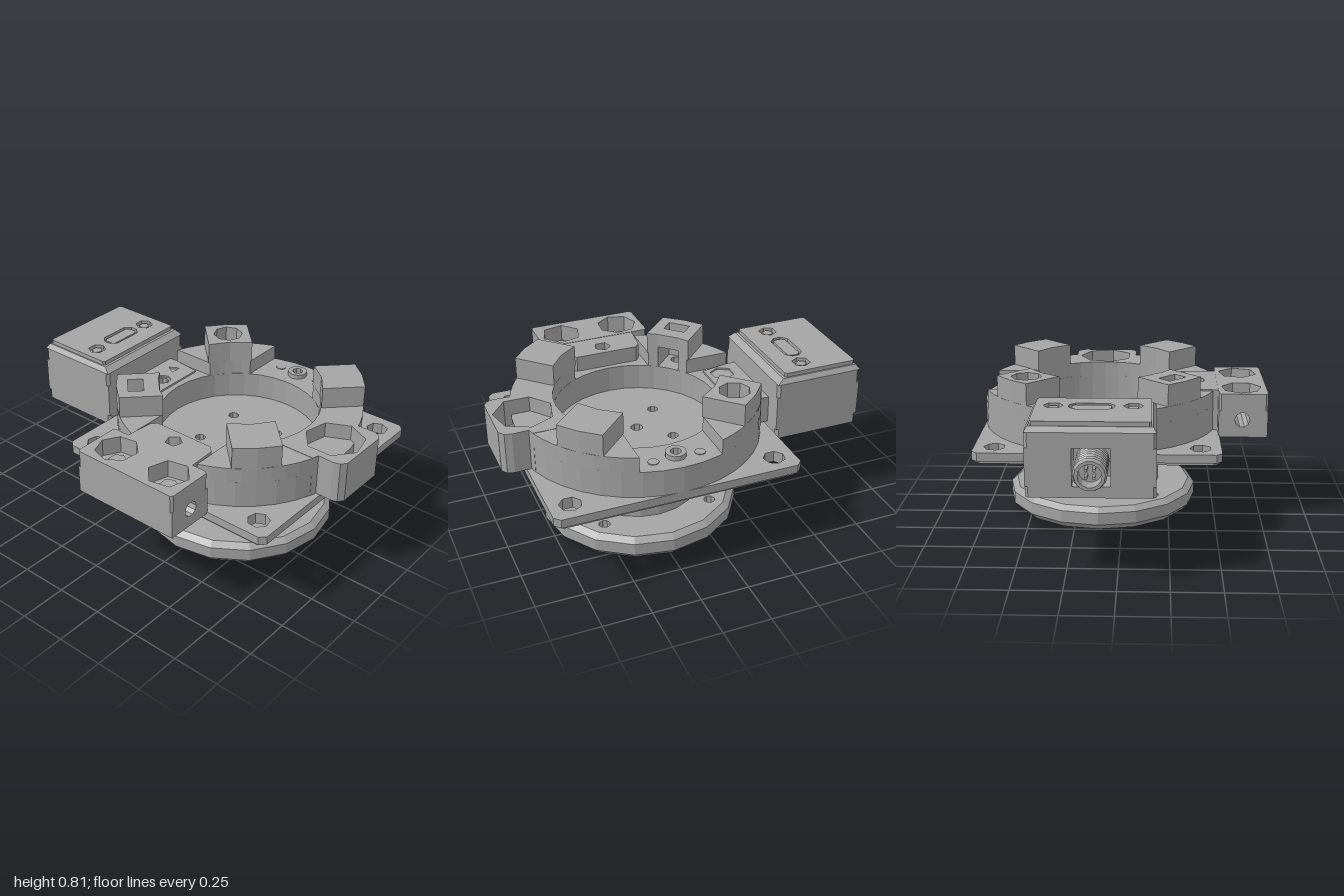
import * as THREE from 'three';

const grey = new THREE.MeshStandardMaterial({ color: 0xa4a4a4 });
grey.name = 'machined grey';

const V = (x, y) => new THREE.Vector2(x, y);

// Regular polygon of points, used for outlines and holes
function ring(cx, cz, r, n = 8, turn = 0) {
  return Array.from({ length: n }, (_, i) => {
    const a = turn + (i / n) * Math.PI * 2;
    return V(cx + r * Math.cos(a), cz + r * Math.sin(a));
  });
}

// Rectangle with cut corners
function rect(x0, x1, z0, z1, c = 0.02) {
  return [V(x0 + c, z0), V(x1 - c, z0), V(x1, z0 + c), V(x1, z1 - c),
    V(x1 - c, z1), V(x0 + c, z1), V(x0, z1 - c), V(x0, z0 + c)];
}

function arc(r, a0, a1, n = 8) {
  return Array.from({ length: n + 1 }, (_, i) => {
    const a = THREE.MathUtils.degToRad(a0 + ((a1 - a0) * i) / n);
    return V(r * Math.cos(a), r * Math.sin(a));
  });
}

// Upright slab from y0 to y1 with an x/z outline and holes
function slab(parent, name, outline, y0, y1, holes = []) {
  const s = new THREE.Shape(outline);
  s.holes = holes.map((h) => new THREE.Path(h));
  const g = new THREE.ExtrudeGeometry(s, { depth: y1 - y0, bevelEnabled: false });
  g.rotateX(Math.PI / 2).translate(0, y1, 0);
  return add(parent, name, g);
}

function add(parent, name, g) {
  const m = new THREE.Mesh(g, grey);
  m.name = name;
  parent.add(m);
  return m;
}

// Faceted turned part
function turned(parent, name, pts, n) {
  const g = new THREE.LatheGeometry(pts.map((p) => V(...p)), n, Math.PI / 2).toNonIndexed();
  g.computeVertexNormals();
  return add(parent, name, g);
}

const R = 0.64, r = 0.425;
const diag = (rad, k) => [rad * Math.cos(Math.PI / 4 + k * Math.PI / 2), rad * Math.sin(Math.PI / 4 + k * Math.PI / 2)];

function buildHub(hub) {
  const five = [ring(0, 0, 0.032), ...[0, 1, 2, 3].map((k) => ring(...diag(0.205, k), 0.028))];
  const through = [ring(0.53, 0, 0.028), ring(0, -0.53, 0.03),
    ring(...diag(0.537, 2), 0.032), ring(...diag(0.54, 3), 0.042, 5)];

  // Bottom flange with bolt holes and chamfered rim
  const bolts = [0, 1, 2, 3].map((k) => ring(...diag(0.41, k), 0.03));
  slab(hub, 'flangeLower', ring(0, 0, 0.485, 16), 0, 0.06, [ring(0, 0, 0.32, 16), ...bolts]);
  slab(hub, 'flangeUpper', ring(0, 0, 0.485, 16), 0.06, 0.125, [ring(0, 0, 0.26, 16), ...bolts]);
  turned(hub, 'flangeRim', [[0.485, 0], [0.518, 0.035], [0.518, 0.1], [0.485, 0.125]], 16);

  // Neck, hollow from below
  slab(hub, 'neckTube', ring(0, 0, 0.316, 20), 0.125, 0.2, [ring(0, 0, 0.26, 16)]);
  slab(hub, 'neckCore', ring(0, 0, 0.316, 20), 0.2, 0.395, five);
  slab(hub, 'neckTop', ring(0, 0, 0.305, 20), 0.395, 0.415, five);

  // Square mounting plate
  const corners = [0, 1, 2, 3].map((k) => ring(...diag(0.75, k), 0.056, 7));
  const blind = [25, 65, 115, 155, 205, 245, 295, 335].map((d) => {
    const a = THREE.MathUtils.degToRad(d);
    return ring(0.52 * Math.cos(a), 0.52 * Math.sin(a), 0.025, 6);
  });
  slab(hub, 'plateBottom', rect(-0.625, 0.625, -0.625, 0.625, 0.03), 0.41, 0.425, [...five, ...through, ...corners, ...blind]);
  slab(hub, 'plate', rect(-0.638, 0.638, -0.638, 0.638, 0.03), 0.425, 0.47, [...five, ...through, ...corners, ...blind]);

  // Lower ring wall
  slab(hub, 'ringBase', ring(0, 0, R, 40), 0.47, 0.61, [ring(0, 0, r, 32), ...through]);

  // Raised quarter walls and diagonal towers
  for (let k = 0; k < 4; k++) {
    const open = k === 2;
    const inner = open
      ? [...arc(r, 60.4, 53, 2), ...arc(0.58, 51, 39, 1), ...arc(r, 37, 29.6, 2)]
      : arc(r, 60.4, 29.6, 5);
    const socket = k === 3 ? [ring(0.375, 0.375, 0.08, 8)] : [];
    const wall = slab(hub, 'quarterWall', [...arc(R, 19.2, 70.8), ...inner], 0.61, 0.69, socket);
    wall.rotation.y = (-k * Math.PI) / 2;

    const mid = open ? [V(0.42, 0.06), V(0.58, 0.06), V(0.58, -0.06), V(0.42, -0.06)] : [V(r, 0)];
    const outline = [V(0.408, -0.12), V(0.629, -0.12), V(R, 0), V(0.629, 0.12), V(0.408, 0.12), ...mid];
    const tower = slab(hub, 'tower', outline, 0.69, 0.805, k === 3 ? [ring(0.53, 0, 0.08, 8)] : []);
    tower.rotation.y = -Math.PI / 4 - (k * Math.PI) / 2;
    if (open) {
      const beam = slab(hub, 'towerBeam', rect(0.42, 0.5, -0.06, 0.06, 0), 0.73, 0.805);
      beam.rotation.y = tower.rotation.y;
    }
  }

  // Front boss with faceted socket
  const boss = [...arc(r, 119.6, 60.4, 6), ...arc(R, 70.8, 74, 1),
    V(0.18, 0.7), V(0.17, 0.735), V(0.14, 0.757), V(-0.14, 0.757), V(-0.17, 0.735), V(-0.18, 0.7),
    ...arc(R, 106, 109.2, 1)];
  slab(hub, 'bossFloor', boss, 0.472, 0.55);
  slab(hub, 'boss', boss, 0.55, 0.692, [ring(0, 0.592, 0.152, 7)]);

  // Side pad collar and pin heads
  slab(hub, 'padCollar', ring(0.53, 0, 0.052, 12), 0.6, 0.635, [ring(0.53, 0, 0.028)]);
  for (const z of [-0.12, 0.12]) slab(hub, 'padPin', ring(0.545, z, 0.028, 10), 0.6, 0.614);
}

function buildClampBlock(block) {
  // Lower body with a cross bore running front to back
  const s = new THREE.Shape([V(-0.77, 0.46), V(-0.51, 0.46), V(-0.51, 0.605), V(-0.77, 0.605)]);
  s.holes = [new THREE.Path(ring(-0.635, 0.555, 0.04, 10))];
  const g = new THREE.ExtrudeGeometry(s, { depth: 0.6, bevelEnabled: false });
  add(block, 'clampBody', g.translate(0, 0, -0.06));
  // Top with two faceted sockets
  const sockets = [0.075, 0.405].map((z, i) => ring(-0.635, z, 0.108, 7 - i, 0.3));
  slab(block, 'clampTop', rect(-0.77, -0.51, -0.06, 0.54, 0.012), 0.605, 0.697, sockets);
  for (const z of [0.075, 0.405]) slab(block, 'clampScrew', ring(-0.635, z, 0.045, 6), 0.6, 0.635);
  // Tongue reaching into the ring
  const tongue = [V(-0.51, 0.03), V(-0.36, 0.045), V(-0.33, 0.07), V(-0.33, 0.41), V(-0.36, 0.44), V(-0.51, 0.445)];
  slab(block, 'clampTongue', tongue, 0.472, 0.695, [ring(-0.405, 0.24, 0.045, 5)]);
}

function buildSensor(sensor) {
  const x0 = -0.182, x1 = 0.428, z0 = -0.89, z1 = -0.415;
  const full = rect(x0, x1, z0, z1, 0.015);
  const pocket = [V(x0, z0), V(0.03, z0), V(0.03, -0.74), V(0.21, -0.74), V(0.21, z0), V(x1, z0), V(x1, z1), V(x0, z1)];
  slab(sensor, 'sensorBottom', full, 0.42, 0.475);
  slab(sensor, 'sensorMiddle', pocket, 0.475, 0.66);
  slab(sensor, 'sensorUpper', full, 0.66, 0.735);

  // Sloped shoulders below the cover
  const g = new THREE.BoxGeometry(x1 - x0, 0.02, z1 - z0);
  const p = g.attributes.position;
  const cx = (x0 + x1) / 2, cz = (z0 + z1) / 2;
  for (let i = 0; i < p.count; i++) {
    const top = p.getY(i) > 0;
    const x = p.getX(i) + cx, z = p.getZ(i) + cz;
    p.setXYZ(i, top ? x - Math.sign(x - cx) * 0.018 : x, top ? 0.76 : 0.735,
      top ? z + (z > cz ? -0.035 : 0.018) : z);
  }
  const flat = g.toNonIndexed();
  flat.computeVertexNormals();
  add(sensor, 'sensorShoulder', flat);

  // Cover with screw recesses and slot
  const recesses = [-0.07, 0.315].map((x) => ring(x, -0.6, 0.048, 6));
  slab(sensor, 'sensorCover', rect(x0 + 0.025, x1 - 0.025, z0 + 0.022, z1 - 0.05, 0.01), 0.759, 0.782,
    [...recesses, rect(0.02, 0.24, -0.66, -0.56, 0.03)]);
  slab(sensor, 'slotInsert', rect(0.035, 0.225, -0.645, -0.575, 0.015), 0.758, 0.778);
  for (const x of [-0.07, 0.315]) slab(sensor, 'coverScrew', ring(x, -0.6, 0.028, 6), 0.758, 0.774);

  // Tongue joining the ring
  const tongue = [V(-0.09, -0.43), V(0.33, -0.43), V(0.33, -0.37), V(0.31, -0.215), V(-0.06, -0.215), V(-0.09, -0.37)];
  slab(sensor, 'sensorTongue', tongue, 0.475, 0.62,
    [ring(0, -0.3, 0.065, 6), ring(0.12, -0.29, 0.045, 7), ring(0.245, -0.32, 0.035, 3, -Math.PI / 2)]);

  // Threaded connector, hollow at its end
  const pts = [[0.06, 0]];
  for (let i = 0; i < 8; i++) pts.push([0.068, 0.01 + i * 0.03], [0.081, 0.025 + i * 0.03]);
  pts.push([0.072, 0.26], [0.056, 0.26], [0.056, 0.18], [0, 0.18]);
  const c = turned(sensor, 'connector', pts, 14);
  c.rotation.x = -Math.PI / 2;
  c.position.set(0.12, 0.565, -0.739);
  for (let i = 0; i < 4; i++) {
    const [dx, dy] = diag(0.026, i);
    const pin = add(sensor, 'connectorPin', new THREE.CylinderGeometry(0.008, 0.008, 0.06, 6));
    pin.rotation.x = Math.PI / 2;
    pin.position.set(0.12 + dx, 0.565 + dy, -0.945);
  }
}

export function createModel() {
  const model = new THREE.Group();
  model.name = 'flangedSensorMount';
  const part = (name, build) => {
    const group = new THREE.Group();
    group.name = name;
    build(group);
    model.add(group);
    return group;
  };
  part('hub', buildHub).position.set(0.122, 0, 0.24);
  part('clampBlock', buildClampBlock);
  part('sensor', buildSensor);
  return model;
}
